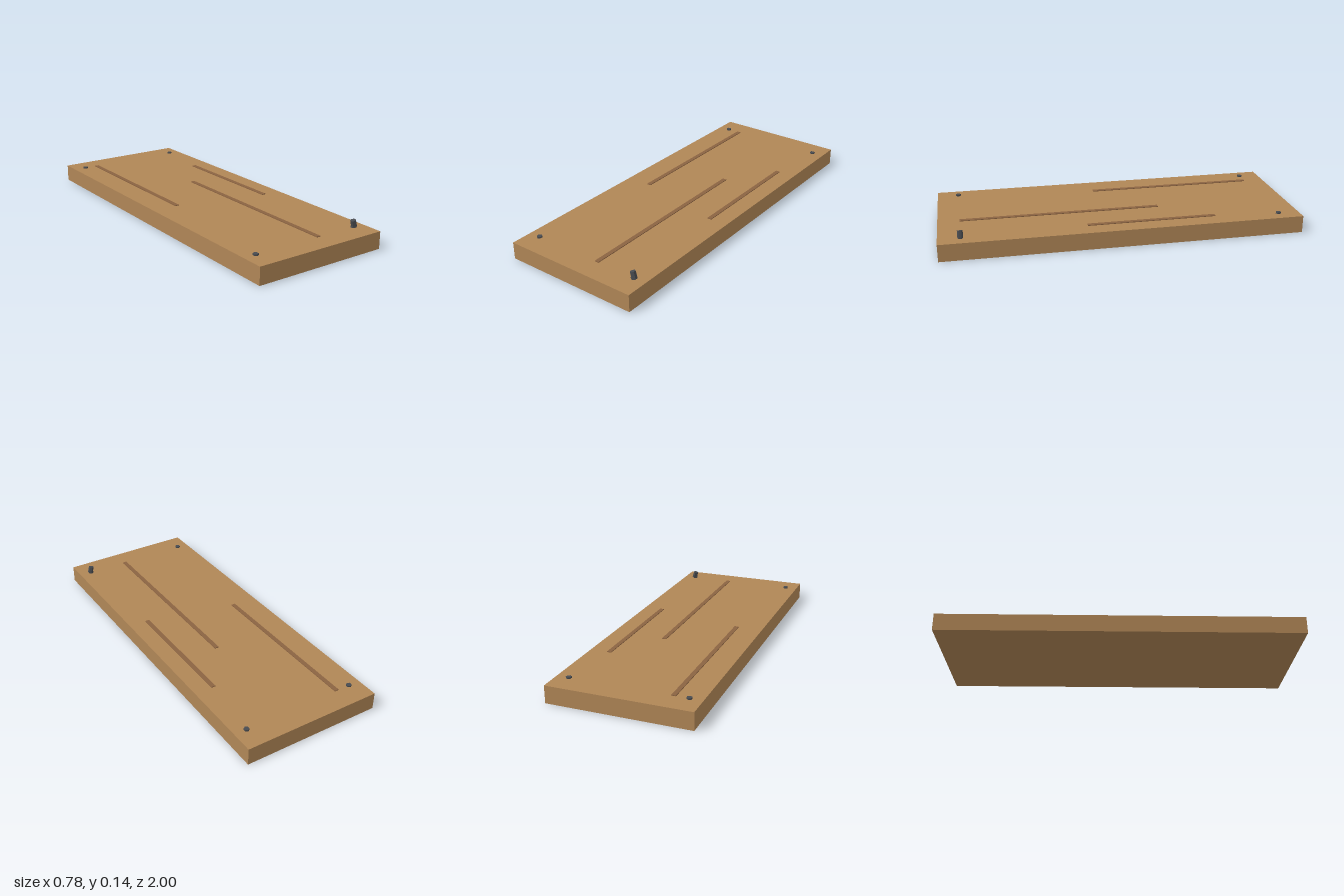
import * as THREE from 'three';

const TOP = 0.096; // height of the plank's upper face

export function createModel() {
  const model = new THREE.Group();
  model.name = 'plank';
  const wood = new THREE.MeshStandardMaterial({ color: 0xb08656, flatShading: true });
  const grain = new THREE.MeshStandardMaterial({ color: 0x8b6341, flatShading: true });
  const iron = new THREE.MeshStandardMaterial({ color: 0x484b50, flatShading: true });

  const add = (name, geometry, material, x, y, z) => {
    const mesh = new THREE.Mesh(geometry, material);
    mesh.name = name;
    mesh.position.set(x, y, z);
    model.add(mesh);
    return mesh;
  };

  // Solid board
  add('board', new THREE.BoxGeometry(0.78, TOP, 2), wood, 0, TOP / 2, 0);

  // Raised grain strips: x, back end, front end
  const strips = [[-0.24, -0.88, 0.08], [0.08, -0.24, 0.88], [0.28, -0.52, 0.2]];
  for (const [x, z0, z1] of strips) {
    add('grainStrip', new THREE.BoxGeometry(0.024, 0.008, z1 - z0), grain, x, TOP, (z0 + z1) / 2);
  }

  // Six-sided nail heads at the corners
  const head = new THREE.CylinderGeometry(0.015, 0.015, 0.016, 6);
  for (const x of [-0.32, 0.32]) {
    for (const z of [-0.88, 0.88]) add('nailHead', head, iron, x, TOP, z);
  }

  // Bent nail sticking out of the front left corner
  const bent = add('bentNail', new THREE.CylinderGeometry(0.015, 0.015, 0.04, 6), iron, 0.32, 0.117, 0.88);
  bent.rotation.z = 0.28;

  return model;
}
